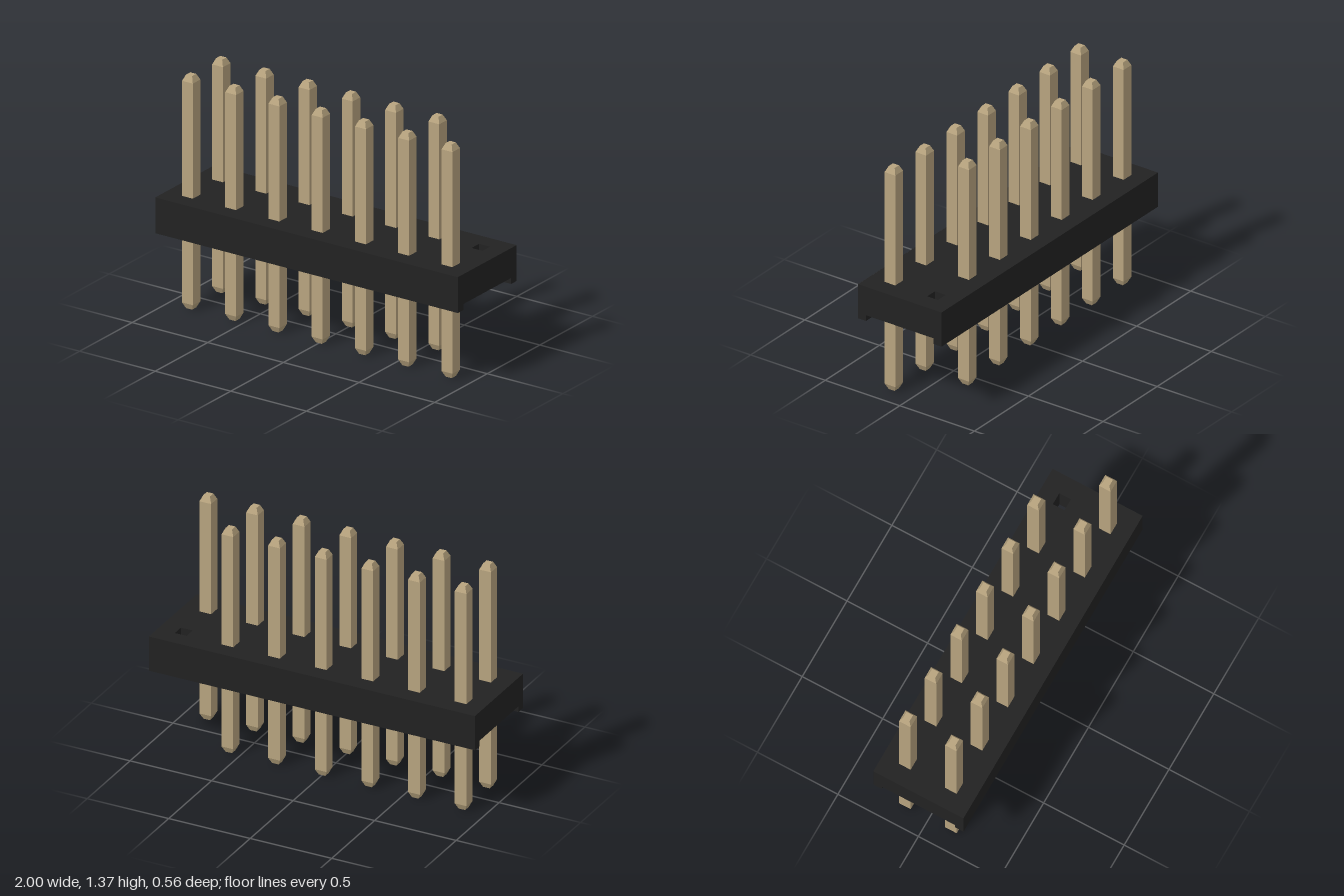
import * as THREE from 'three';

const PITCH = 0.286;
const COLUMNS = 7;
const PIN_HALF = 0.036;
const TIP_HALF = 0.02;

// Square pin with chamfered ends, lathed with four sides
function pinGeometry() {
  const k = Math.SQRT2;
  const profile = [
    [0, 0], [TIP_HALF * k, 0], [PIN_HALF * k, 0.035],
    [PIN_HALF * k, 1.335], [TIP_HALF * k, 1.37], [0, 1.37],
  ].map(([r, y]) => new THREE.Vector2(r, y));
  const geometry = new THREE.LatheGeometry(profile, 4);
  geometry.rotateY(Math.PI / 4);
  const flat = geometry.toNonIndexed();
  flat.computeVertexNormals();
  return flat;
}

export function createModel() {
  const model = new THREE.Group();
  model.name = 'pinHeader';
  const plastic = new THREE.MeshStandardMaterial({ name: 'blackPlastic', color: 0x222222 });
  const metal = new THREE.MeshStandardMaterial({ name: 'paleGold', color: 0xb8a47f });

  // Housing plate with one open keying hole at the back left
  const plan = new THREE.Shape();
  plan.moveTo(-1, -0.28).lineTo(1, -0.28).lineTo(1, 0.28).lineTo(-1, 0.28).closePath();
  const hx = 3 * PITCH, hy = PITCH / 2, h = PIN_HALF;
  const hole = new THREE.Path();
  hole.moveTo(hx - h, hy - h).lineTo(hx - h, hy + h).lineTo(hx + h, hy + h).lineTo(hx + h, hy - h).closePath();
  plan.holes.push(hole);
  const plateGeometry = new THREE.ExtrudeGeometry(plan, { depth: 0.175, bevelEnabled: false });
  plateGeometry.rotateX(-Math.PI / 2);
  const plate = new THREE.Mesh(plateGeometry, plastic);
  plate.name = 'housingPlate';
  plate.position.y = 0.485;
  model.add(plate);

  // Standoff lips along the front and back edges
  for (const side of [1, -1]) {
    const lip = new THREE.Mesh(new THREE.BoxGeometry(2, 0.035, 0.053), plastic);
    lip.name = side > 0 ? 'frontLip' : 'backLip';
    lip.position.set(0, 0.4675, side * 0.2535);
    model.add(lip);
  }

  // Two rows of pins, skipping the keying position
  const geometry = pinGeometry();
  for (const side of [1, -1]) {
    const row = new THREE.Group();
    row.name = side > 0 ? 'frontPinRow' : 'backPinRow';
    for (let i = 0; i < COLUMNS; i++) {
      if (side < 0 && i === COLUMNS - 1) continue;
      const pin = new THREE.Mesh(geometry, metal);
      pin.name = 'pin';
      pin.position.set((i - 3) * PITCH, 0, side * PITCH / 2);
      row.add(pin);
    }
    model.add(row);
  }
  return model;
}
